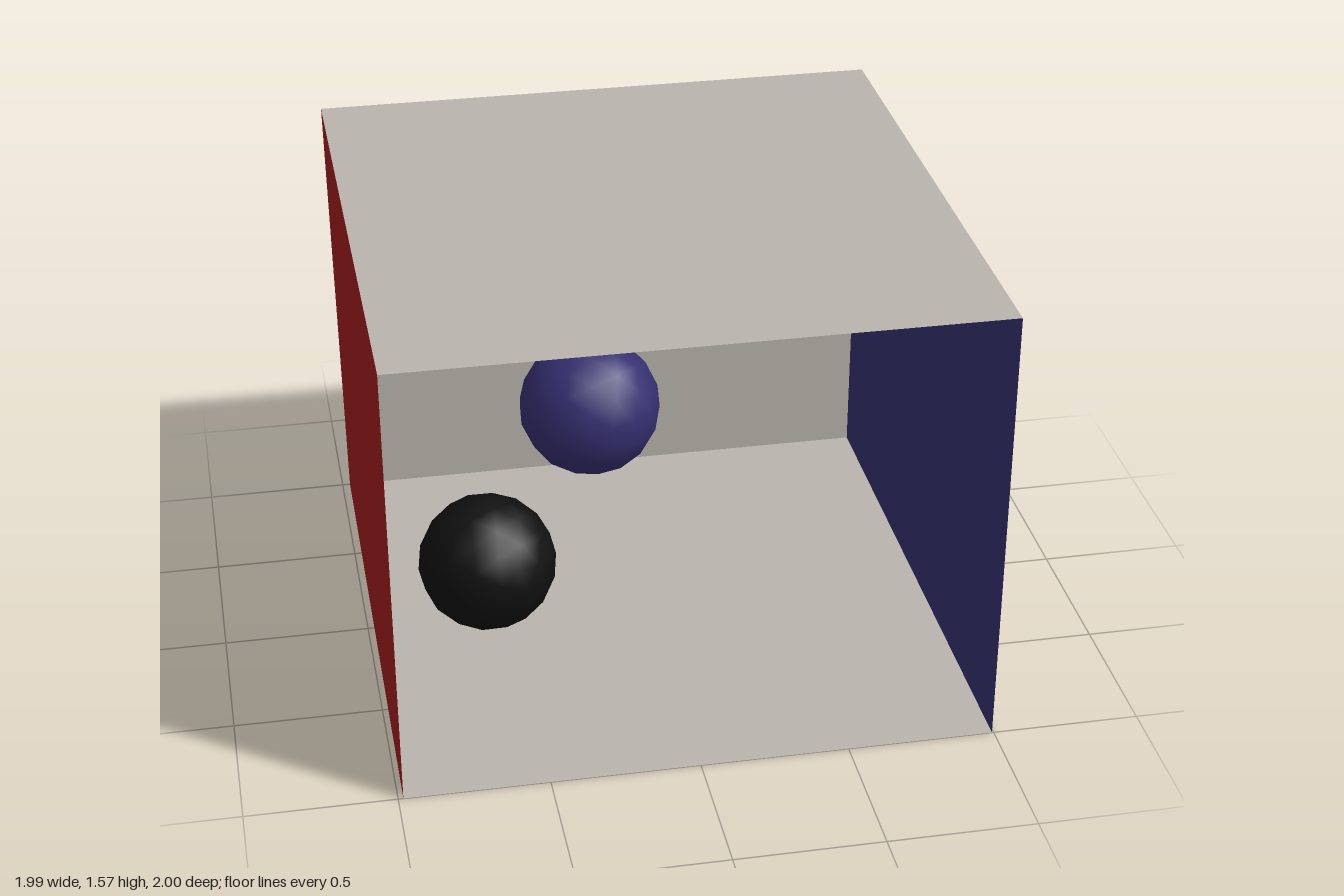
import * as THREE from 'three';

const WARM = 0xb9b5ad, RED = 0xa11b1b, BLUE = 0x352f70, BLACK = 0x101010;
const X = 0.994, H = 1.567, Z = 1;

// Flat panel from four corners given in order around its rim
function panel(name, color, corners) {
  const geometry = new THREE.BufferGeometry().setFromPoints(corners.map(c => new THREE.Vector3(...c)));
  geometry.setIndex([0, 1, 2, 0, 2, 3]);
  const flat = geometry.toNonIndexed();
  flat.computeVertexNormals();
  const mesh = new THREE.Mesh(flat, new THREE.MeshStandardMaterial({ color, side: THREE.DoubleSide }));
  mesh.name = name;
  return mesh;
}

// Coarse ball with smooth normals
function ball(name, color, position, turn) {
  const mesh = new THREE.Mesh(
    new THREE.IcosahedronGeometry(0.243, 2),
    new THREE.MeshStandardMaterial({ color })
  );
  mesh.name = name;
  mesh.position.set(...position);
  mesh.rotation.set(...turn);
  return mesh;
}

export function createModel() {
  const room = new THREE.Group();
  room.name = 'room';

  // Corners of the room; the red wall leans in slightly at the floor
  const floorFL = [-0.983, 0, Z], floorBL = [-0.972, 0, -Z];
  const floorFR = [X, 0, Z], floorBR = [X, 0, -Z];
  const topFL = [-X, H, Z], topBL = [-X, H, -Z];
  const topFR = [X, H, Z], topBR = [X, H, -Z];

  // Shell, open at the front
  room.add(
    panel('floor', WARM, [floorFL, floorFR, floorBR, floorBL]),
    panel('ceiling', WARM, [topFL, topBL, topBR, topFR]),
    panel('backWall', WARM, [floorBL, floorBR, topBR, topBL]),
    panel('redWall', RED, [floorFL, floorBL, topBL, topFL]),
    panel('blueWall', BLUE, [floorBR, floorFR, topFR, topBR])
  );

  // Balls inside the room
  room.add(
    ball('upperBall', BLUE, [-0.2, 0.84, 0.02], [0.4, 0.3, 0.2]),
    ball('lowerBall', BLACK, [-0.57, 0.245, 0.02], [0.2, 0.5, 0.1])
  );
  return room;
}
